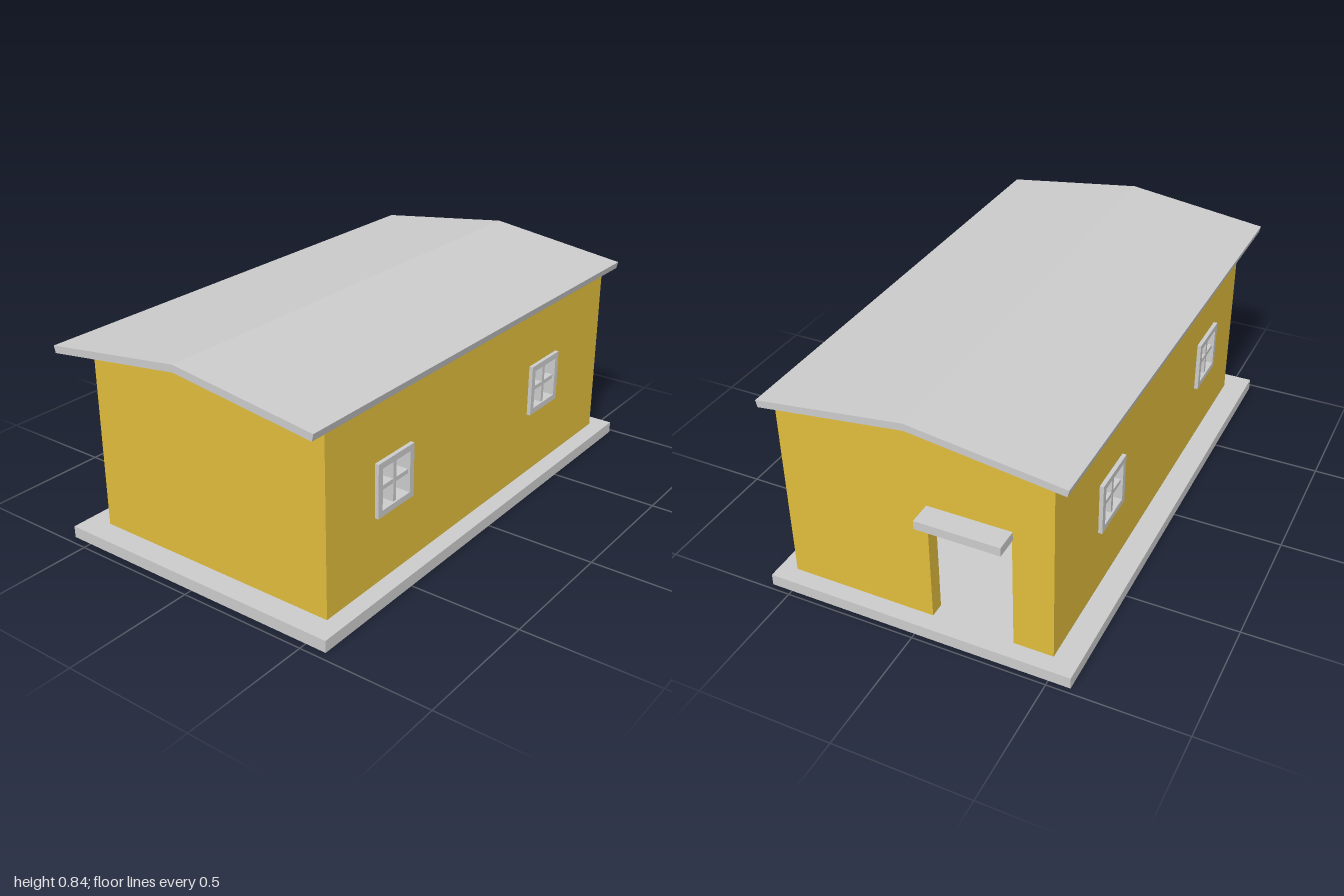
import * as THREE from 'three';

const GREY = new THREE.MeshStandardMaterial({ color: 0xcccccc, flatShading: true });
const YELLOW = new THREE.MeshStandardMaterial({ color: 0xe0bc3c, flatShading: true });

const X0 = -0.88, X1 = 0.915;          // outer faces of the gable walls
const ZF = 0.515, ZB = -0.49;          // outer faces of the long walls
const ZMID = 0.0125, T = 0.055;        // ridge position, wall thickness
const FLOOR = 0.045, EAVE = 0.75, RIDGE = 0.816;

const polygon = (Type, pts) => new Type(pts.map(([x, y]) => new THREE.Vector2(x, y)));
const rect = (x0, x1, y0, y1) => [[x0, y0], [x1, y0], [x1, y1], [x0, y1]];

function add(parent, name, geometry, material) {
  const mesh = new THREE.Mesh(geometry, material);
  mesh.name = name;
  parent.add(mesh);
  return mesh;
}

function box(parent, name, [x0, x1], [y0, y1], [z0, z1], material) {
  const mesh = add(parent, name, new THREE.BoxGeometry(x1 - x0, y1 - y0, z1 - z0), material);
  mesh.position.set((x0 + x1) / 2, (y0 + y1) / 2, (z0 + z1) / 2);
}

// Outline with holes, extruded from z to z + depth
function slab(outline, holes, depth, z = 0) {
  const shape = polygon(THREE.Shape, outline);
  holes.forEach(h => shape.holes.push(polygon(THREE.Path, h)));
  return new THREE.ExtrudeGeometry(shape, { depth, bevelEnabled: false }).translate(0, 0, z);
}

// Profile in (z, y), extruded along x from x0 to x1
function alongX(outline, x0, x1) {
  return slab(outline.map(([z, y]) => [-z, y]), [], x1 - x0).rotateY(Math.PI / 2).translate(x0, 0, 0);
}

export function createModel() {
  const model = new THREE.Group();
  model.name = 'hut';

  box(model, 'basePlate', [-0.97, 0.98], [0, FLOOR], [-0.58, 0.58], GREY);

  // Long walls with two window openings each
  const windowX = [-0.525, 0.458], windowY = 0.4, half = 0.1;
  const openings = windowX.map(x => rect(x - half, x + half, windowY - half, windowY + half));
  const longWall = rect(X0 + T, X1 - T, FLOOR, EAVE);
  add(model, 'frontWall', slab(longWall, openings, T, ZF - T), YELLOW);
  add(model, 'backWall', slab(longWall, openings, T, ZB), YELLOW);

  // Gable walls: the far one solid, the near one notched for the doorway
  const top = [[ZB, EAVE], [ZMID, RIDGE], [ZF, EAVE]];
  const door = [[-0.038, FLOOR], [-0.038, 0.49], [-0.343, 0.49], [-0.343, FLOOR]];
  add(model, 'plainGableWall', alongX([[ZF, FLOOR], [ZB, FLOOR], ...top], X0, X0 + T), YELLOW);
  add(model, 'doorGableWall', alongX([[ZF, FLOOR], ...door, [ZB, FLOOR], ...top], X1 - T, X1), YELLOW);

  // Canopy over the doorway
  box(model, 'doorCanopy', [X1 - 0.005, 1], [0.49, 0.523], [-0.346, -0.038], GREY);

  // Windows: a square frame with a thinner cross inside
  const frame = slab(rect(-half, half, -half, half), [rect(-0.077, 0.077, -0.077, 0.077)], T + 0.03, -T / 2 - 0.015);
  for (const x of windowX) {
    for (const [side, z] of [['front', ZF - T / 2], ['back', ZB + T / 2]]) {
      const win = new THREE.Group();
      win.name = side + 'Window';
      win.position.set(x, windowY, z);
      add(win, 'windowFrame', frame, GREY);
      box(win, 'uprightBar', [-0.008, 0.008], [-0.078, 0.078], [-0.035, 0.035], GREY);
      box(win, 'crossBar', [-0.078, 0.078], [-0.008, 0.008], [-0.034, 0.034], GREY);
      model.add(win);
    }
  }

  // Folded roof sheet with overhanging eaves
  add(model, 'roof', alongX([
    [0.565, 0.744], [0.571, 0.77], [ZMID + 0.002, 0.843],
    [-0.546, 0.77], [-0.54, 0.744], [ZMID, RIDGE],
  ], -1, 0.94), GREY);

  return model;
}
